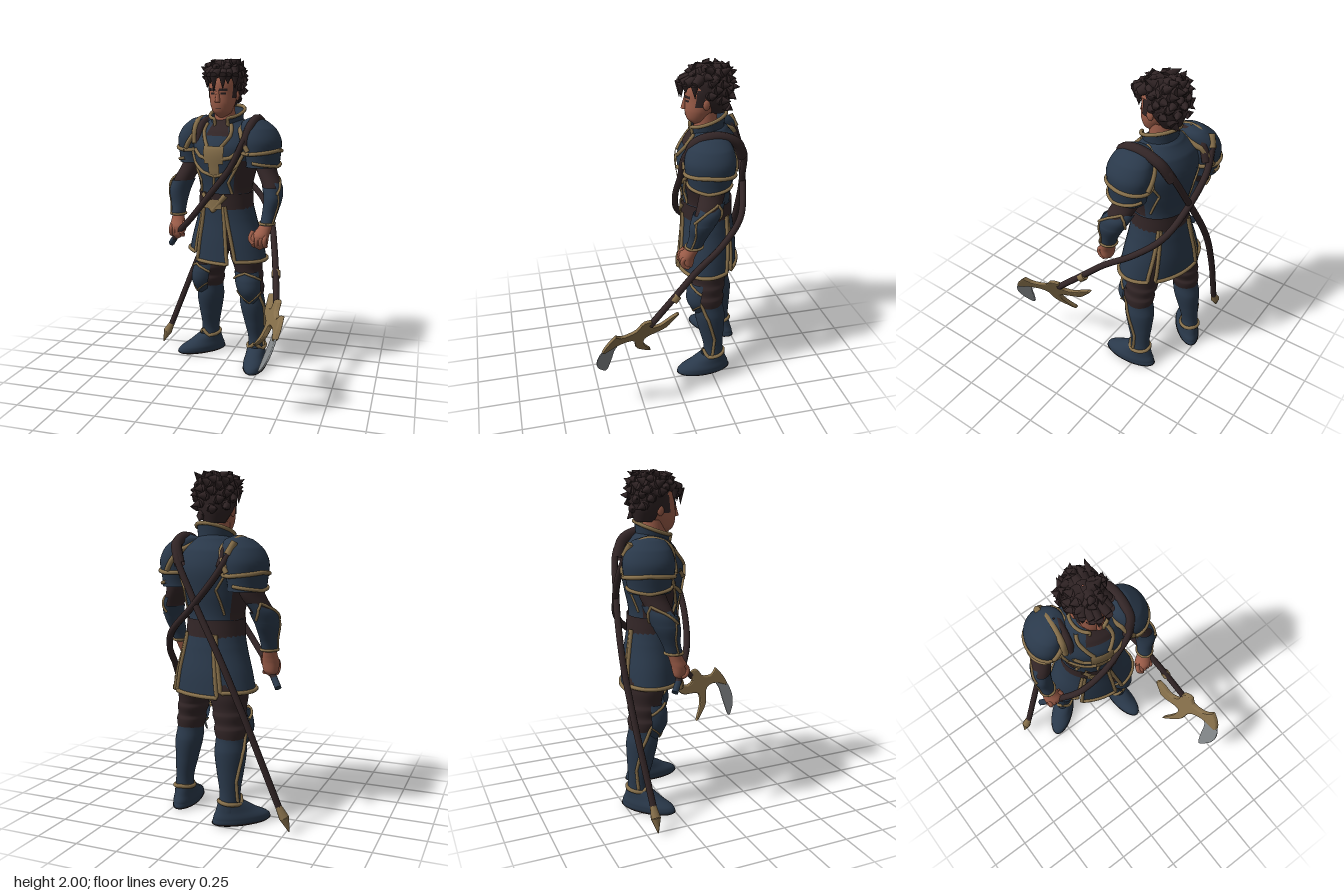
import * as THREE from 'three';
import { ParametricGeometry } from 'three/addons/geometries/ParametricGeometry.js';

const V = (x, y, z) => new THREE.Vector3(x, y, z);
const TAU = Math.PI * 2;
const paint = (name, color) => {
  const m = new THREE.MeshStandardMaterial({ color, side: THREE.DoubleSide });
  m.name = name;
  return m;
};

// Elliptical loft: sections are [x, y, z, rx, rz] with y rising; returns a point for angle t (0 = front) and height y.
function loft(secs, yaw = 0) {
  const n = secs.length - 1;
  const centre = new THREE.CatmullRomCurve3(secs.map(s => V(s[0], s[1], s[2])), false, 'catmullrom');
  const radius = new THREE.CatmullRomCurve3(secs.map(s => V(s[3], s[4], 0)), false, 'catmullrom');
  const P = (t, y, grow = 0) => {
    let i = secs.findIndex(s => s[1] >= y);
    if (i < 0) i = n;
    const u = i === 0 ? 0 : (i - 1 + Math.min(1, (y - secs[i - 1][1]) / (secs[i][1] - secs[i - 1][1]))) / n;
    const c = centre.getPoint(u), r = radius.getPoint(u);
    const a = (r.x + grow) * Math.sin(t), b = (r.y + grow) * Math.cos(t);
    return V(c.x + a * Math.cos(yaw) + b * Math.sin(yaw), y, c.z - a * Math.sin(yaw) + b * Math.cos(yaw));
  };
  P.ys = secs.map(s => s[1]);
  return P;
}

// Interpolates [x, y, z] stations by height and attaches [y, rx, rz] radii (optional forward shift along yaw).
function along(stations, radii, yaw = 0) {
  return radii.map(([y, rx, rz, f = 0]) => {
    let i = stations.findIndex(s => s[1] >= y);
    i = i < 0 ? stations.length - 1 : Math.max(1, i);
    const a = stations[i - 1], b = stations[i], k = THREE.MathUtils.clamp((y - a[1]) / (b[1] - a[1]), 0, 1);
    return [a[0] + (b[0] - a[0]) * k + f * Math.sin(yaw), y, a[2] + (b[2] - a[2]) * k + f * Math.cos(yaw), rx, rz];
  });
}

export function createModel() {
  const root = new THREE.Group(), body = new THREE.Group();
  root.name = 'warrior';
  body.name = 'body';
  body.position.set(0, 0, -0.27);
  body.rotation.y = -0.33;
  root.add(body);
  const blue = paint('blue armour', 0x2a394b), gold = paint('bronze trim', 0x87704b), leather = paint('dark leather', 0x332627);
  const hairCol = paint('hair', 0x2f2324), skinCol = paint('skin', 0x9c5d49), steel = paint('steel', 0x84888a), sole = paint('sole', 0x231c1e);

  const add = (parent, name, geo, mat) => {
    const m = new THREE.Mesh(geo, mat);
    m.name = name;
    parent.add(m);
    return m;
  };
  const skin = (parent, name, P, mat, t0 = 0, t1 = TAU, y0 = P.ys[0], y1 = P.ys[P.ys.length - 1], grow = 0) => {
    const nodes = [y0, ...P.ys.filter(y => y > y0 + 1e-4 && y < y1 - 1e-4), y1], n = nodes.length - 1;
    const f = (u, v, out) => {
      const k = Math.min(n - 1, Math.floor(v * n));
      out.copy(P(t0 + (t1 - t0) * u, nodes[k] + (nodes[k + 1] - nodes[k]) * (v * n - k), grow));
    };
    return add(parent, name, new ParametricGeometry(f, Math.max(6, Math.ceil(Math.abs(t1 - t0) * 5)), n * 4), mat);
  };
  const tube = (parent, name, pts, r, mat, n = pts.length * 5) =>
    add(parent, name, new THREE.TubeGeometry(new THREE.CatmullRomCurve3(pts), n, r, 8), mat);
  // Raised piping that follows [angle, height] points on a loft
  const piping = (parent, name, P, pts, r = 0.009) => {
    const path = [];
    for (let i = 0; i < pts.length - 1; i++) for (let k = 0; k < 8; k++) {
      const f = k / 8;
      path.push(P(pts[i][0] + (pts[i + 1][0] - pts[i][0]) * f, pts[i][1] + (pts[i + 1][1] - pts[i][1]) * f, 0.003));
    }
    path.push(P(...pts[pts.length - 1], 0.003));
    return tube(parent, name, path, r, gold, path.length * 2);
  };
  const rod = (parent, name, a, b, r0, r1, mat) => {
    const d = b.clone().sub(a), m = add(parent, name, new THREE.CylinderGeometry(r1, r0, d.length(), 8), mat);
    m.position.copy(a).add(b).multiplyScalar(0.5);
    m.quaternion.setFromUnitVectors(V(0, 1, 0), d.normalize());
    return m;
  };

  // Torso
  const torso = loft([[0, 1.0, .01, .18, .148], [0, 1.1, .012, .172, .145], [0, 1.2, .015, .172, .147], [0, 1.32, .015, .2, .17],
    [0, 1.45, .012, .225, .185], [0, 1.55, 0, .2, .15], [0, 1.62, 0, .12, .1], [0, 1.65, 0, .07, .07]]);
  skin(body, 'torso', torso, blue);
  skin(body, 'shirtFront', torso, leather, -.25, .5, 1.53, 1.63, .005);
  skin(body, 'belt', torso, leather, 0, TAU, 1.07, 1.17, .012);
  skin(body, 'buckle', torso, gold, -.34, .34, 1.07, 1.13, .02);
  piping(body, 'buckleCrest', torso, [[-.5, 1.16], [-.2, 1.1], [0, 1.06], [.2, 1.1], [.5, 1.16]], .02);
  skin(body, 'chestEmblem', torso, gold, -.18, .43, 1.36, 1.47, .014);
  skin(body, 'emblemPoint', torso, gold, -.05, .3, 1.29, 1.36, .012);
  piping(body, 'bellyTrim', torso, [[.1, 1.3], [.03, 1.17]]);
  for (const s of [1, -1]) {
    skin(body, 'sidePadding', torso, leather, s * .8, s * 2, 1.17, 1.38, .005);
    piping(body, 'emblemArm', torso, [[.12 + s * .25, 1.39], [.12 + s * .5, 1.4], [.12 + s * .75, 1.44]], .012);
    piping(body, 'chestTrim', torso, [[.12, 1.28], [.1 + s * .45, 1.3], [s * .85, 1.35], [s * 1.1, 1.46]], .011);
    piping(body, 'neckTrim', torso, [[.12 + s * .2, 1.46], [.1 + s * .45, 1.53], [s * .65, 1.6]], .012);
    piping(body, 'ribTrim', torso, [[s * .75, 1.17], [s * .6, 1.24], [s * .85, 1.34]]);
    piping(body, 'backTrim', torso, [[s * 2.2, 1.2], [s * 2.5, 1.34], [s * 2.2, 1.45]], .007);
  }

  // Collar, higher at the back
  const ring = loft([[.01, 1.55, .01, .13, .11], [.01, 1.62, .015, .1, .095], [.01, 1.71, .02, .108, .105]]);
  const collar = (t, y, g) => { const p = ring(t, y, g); p.y -= .04 * (1 + Math.cos(t)); return p; };
  collar.ys = ring.ys;
  skin(body, 'collar', collar, blue, .6, TAU - .25);
  piping(body, 'collarTrim', collar, [[.6, 1.56], [.6, 1.71], [Math.PI, 1.71], [TAU - .25, 1.71], [TAU - .25, 1.56]], .011);

  // Skirt panels: [middle angle, half width, hem height, narrowing towards the hem]
  const skirt = loft([[0, .72, 0, .285, .185], [0, .86, 0, .25, .178], [0, 1.0, .005, .205, .162], [0, 1.1, .012, .18, .152]]);
  for (const [mid, half, hem, taper] of [[-.01, .41, .72, 0], [1.48, 1.03, .74, .45], [3.14, .58, .74, 0], [4.785, 1.005, .77, .15]]) {
    const panel = (u, y, g) => skirt(mid + u * (half - taper * (1.1 - y)), y, g);
    panel.ys = skirt.ys;
    skin(body, 'skirtPanel', panel, blue, -1, 1, hem, 1.1);
    piping(body, 'skirtTrim', panel, [[-1, 1.09], [-1, hem], [0, hem], [1, hem], [1, 1.09]], .012);
  }
  skin(body, 'hips', loft([[0, .78, 0, .05, .07], [0, .85, 0, .16, .12], [0, 1.05, 0, .165, .135]]), leather);

  // Pauldrons with a second lame beneath
  for (const s of [1, -1]) {
    const cap = loft([[s * .248, 1.42, -.012, .113, .14], [s * .245, 1.5, -.012, .118, .148], [s * .225, 1.57, -.012, .103, .13],
      [s * .195, 1.62, -.012, .07, .09], [s * .18, 1.645, -.012, .005, .005]]);
    const lame = loft([[s * .258, 1.34, -.012, .1, .122], [s * .255, 1.44, -.012, .11, .135]]);
    skin(body, 'pauldron', cap, blue);
    skin(body, 'pauldronLame', lame, blue);
    piping(body, 'pauldronTrim', cap, [[0, 1.425], [s * 1.57, 1.445], [Math.PI * s, 1.425], [s * 4.71, 1.43], [s * TAU, 1.425]], .012);
    piping(body, 'lameTrim', lame, [[0, 1.37], [s * 1.57, 1.345], [s * Math.PI, 1.37]], .01);
    piping(body, 'pauldronInnerTrim', cap, [[-s * .1, 1.44], [-s * .6, 1.55], [-s * 1.57, 1.61], [-s * 2.5, 1.55], [-s * 3, 1.44]], .016);
  }

  // Arms
  const arms = {
    left: [[.265, .84, -.065], [.265, .92, -.065], [.305, 1, -.1], [.328, 1.15, -.14], [.315, 1.22, -.17], [.27, 1.32, -.21], [.25, 1.45, -.23]],
    right: [[-.33, .84, -.22], [-.33, .92, -.225], [-.335, 1, -.26], [-.335, 1.15, -.3], [-.315, 1.22, -.32], [-.265, 1.32, -.355], [-.24, 1.45, -.37]],
  };
  for (const [side, path] of Object.entries(arms)) {
    const s = side === 'left' ? 1 : -1, yaw = s > 0 ? .1 : -.5;
    const part = r => loft(along(path, r, yaw), yaw);
    skin(root, side + 'Sleeve', part([[1.12, .05, .06], [1.22, .06, .07], [1.32, .064, .076], [1.45, .07, .08]]), leather);
    const bracer = part([[.99, .043, .048], [1.06, .048, .054], [1.15, .058, .078], [1.22, .062, .086]]);
    skin(root, side + 'Bracer', bracer, blue);
    const guard = part([[1.16, .062, .083], [1.22, .066, .088], [1.275, .055, .075, -.015]]);
    skin(root, side + 'ElbowGuard', guard, blue, s * .5, s * 2.9);
    piping(root, side + 'ElbowTrim', guard, [[s * .5, 1.18], [s * 1.1, 1.24], [s * 1.7, 1.275], [s * 2.3, 1.24], [s * 2.9, 1.18]], .008);
    piping(root, side + 'CuffTrim', bracer, [[0, 1.0], [Math.PI, 1.0], [TAU, 1.0]], .008);
    piping(root, side + 'BracerTrim', bracer, [[s * .6, 1.2], [s * .9, 1.1], [s * .9, 1.0]], .006);
    skin(root, side + 'Hand', part([[.835, .005, .005], [.86, .045, .035], [.92, .056, .046], [.96, .046, .042], [1.01, .036, .038]]), skinCol);
    for (let i = 0; i < 4; i++) {
      const x = path[1][0] + (i - 1.5) * .024, z = path[1][2] + .025;
      tube(root, side + 'Finger', [V(x, .93, z - .01), V(x, .905, z + .012), V(x, .87, z), V(x, .86, z - .03)], .014, skinCol, 8);
    }
    tube(root, side + 'Thumb', [V(path[1][0] - s * .045, .95, path[1][2]), V(path[1][0] - s * .055, .91, path[1][2] + .03), V(path[1][0] - s * .03, .88, path[1][2] + .04)], .015, skinCol, 8);
  }

  // Legs
  const legs = {
    left: [[.208, .0, -.275], [.203, .18, -.27], [.17, .55, -.235], [.1, .95, -.26]],
    right: [[-.16, .0, -.43], [-.16, .18, -.425], [-.145, .55, -.375], [-.1, .95, -.33]],
  };
  for (const [side, path] of Object.entries(legs)) {
    const s = side === 'left' ? 1 : -1, yaw = s > 0 ? .05 : -.7, toeYaw = s > 0 ? .05 : -.85;
    const part = (r, a = yaw) => loft(along(path, r, a), a);
    skin(root, side + 'Trouser', part([[.48, .074, .08], [.55, .088, .1], [.58, .083, .093], [.63, .094, .104], [.66, .09, .1], [.74, .105, .115], [.84, .1, .11], [.95, .07, .09]]), leather);
    const boot = part([[.08, .058, .07], [.18, .053, .062], [.3, .067, .08], [.42, .082, .096], [.5, .078, .088], [.54, .082, .092]]);
    skin(root, side + 'Boot', boot, blue);
    piping(root, side + 'BootSideTrim', boot, [[s * .7, .54], [s * 1.2, .42], [s * 1.5, .26], [s * 1.2, .14]], .01);
    piping(root, side + 'AnkleTrim', boot, [[0, .16], [.8, .12], [Math.PI, .14], [TAU - .8, .12], [TAU, .16]], .012);
    const knee = part([[.45, .045, .07, .03], [.53, .08, .1, .04], [.6, .09, .105, .035], [.66, .082, .09, .03]]);
    skin(root, side + 'KneeGuard', knee, blue, -1.2, 1.2);
    piping(root, side + 'KneeTrim', knee, [[-1.2, .61], [-.7, .635], [0, .66], [.7, .635], [1.2, .61]], .008);
    piping(root, side + 'KneeLowerTrim', knee, [[-1.2, .53], [-.6, .49], [0, .455], [.6, .49], [1.2, .53]], .005);
    const foot = part([[0, .005, .005, .07], [.002, .064, .16, .07], [.04, .073, .17, .07], [.08, .064, .125, .04], [.13, .056, .076, .005]], toeYaw);
    skin(root, side + 'Foot', foot, blue);
    skin(root, side + 'Sole', foot, sole, 0, TAU, 0, .015, .004);
  }

  // Head
  const hx = -.014, headYaw = -.1;
  const head = loft([[hx, 1.64, -.2, .02, .03], [hx, 1.67, -.19, .055, .058], [hx, 1.72, -.2, .076, .083], [hx, 1.79, -.225, .087, .108],
    [hx, 1.86, -.235, .09, .114], [hx, 1.93, -.245, .07, .09], [hx, 1.96, -.25, .01, .01]], headYaw);
  skin(root, 'head', head, skinCol);
  skin(root, 'neck', loft([[-.005, 1.58, -.235, .07, .08], [-.01, 1.63, -.24, .066, .068], [hx, 1.72, -.24, .066, .07]]), skinCol);
  rod(root, 'nose', head(0, 1.735, .006), head(0, 1.81, -.004), .018, .008, skinCol);
  skin(root, 'mouth', head, sole, -.28, .28, 1.697, 1.702, .002);
  for (const s of [1, -1]) {
    skin(root, 'eye', head, sole, s * .22, s * .58, 1.782, 1.794, .002);
    skin(root, 'eyebrow', head, hairCol, s * .14, s * .68, 1.804, 1.82, .004);
    skin(root, 'sideburn', head, hairCol, s * 1.05, s * 1.5, 1.76, 1.86, .004);
    const ear = add(root, 'ear', new THREE.SphereGeometry(.024, 10, 8), skinCol);
    ear.scale.set(.5, 1.3, .9);
    ear.position.copy(head(s * 1.65, 1.775, .003));
  }

  // Hair: a cap with swept, bent locks and a hanging fringe
  const hair = loft([[hx, 1.71, -.3, .06, .06], [hx, 1.78, -.285, .1, .095], [hx, 1.86, -.27, .115, .115], [hx, 1.93, -.258, .104, .112],
    [hx, 1.965, -.255, .055, .065], [hx, 1.975, -.255, .004, .004]], headYaw);
  skin(root, 'hairCap', hair, hairCol);
  let seed = 7;
  const rand = () => (seed = (seed * 16807) % 2147483647) / 2147483647;
  for (let i = 0; i < 60; i++) {
    const t = i * 2.39996, y = 1.74 + .22 * Math.sqrt(i / 60), front = Math.cos(t);
    if ((front > .35 && y < 1.885) || (front > -.2 && y < 1.8)) continue;
    const base = hair(t, y, -.034), out = V(Math.sin(t), (y - 1.86) * 6, front).normalize();
    const sweep = V(Math.cos(t), rand() - .5, -Math.sin(t)).multiplyScalar(rand() > .5 ? 1 : -1);
    const mid = base.clone().addScaledVector(out, .036).addScaledVector(sweep, .008);
    rod(root, 'lockRoot', base, mid, .045, .026, hairCol);
    rod(root, 'lockTip', mid, mid.clone().addScaledVector(out, .02 + rand() * .022).addScaledVector(sweep, .025 + rand() * .02), .026, .001, hairCol);
  }
  for (const [x, y, z] of [[-.1, 1.82, -.15], [-.068, 1.845, -.105], [-.04, 1.8, -.088], [.018, 1.815, -.085], [.045, 1.845, -.105], [.078, 1.82, -.15]]) {
    const start = V(x * .7 + hx * .3, 1.925, -.19), mid = V(x, 1.895, z + .003);
    rod(root, 'fringeRoot', start, mid, .036, .024, hairCol);
    rod(root, 'fringeLock', mid, V(x, y, z), .024, .001, hairCol);
  }

  // Spear shaft and sling crossing the back, left shoulder and chest
  tube(root, 'slungSpear', [V(-.46, .15, -.445), V(-.27, .65, -.49), V(-.14, .95, -.5), V(.05, 1.3, -.465), V(.18, 1.55, -.4), V(.195, 1.64, -.23),
    V(.16, 1.53, -.085), V(.07, 1.34, -.07), V(-.06, 1.17, -.075), V(-.2, 1, -.12), V(-.31, .89, -.2), V(-.36, .83, -.245)], .02, leather, 90);
  tube(root, 'leftShoulderStrap', [V(.15, 1.47, -.085), V(.185, 1.59, -.12), V(.2, 1.63, -.23), V(.195, 1.59, -.36), V(.15, 1.48, -.42)], .032, leather);
  tube(root, 'rightShoulderStrap', [V(-.165, 1.46, -.19), V(-.165, 1.57, -.215), V(-.15, 1.615, -.33), V(-.14, 1.57, -.43), V(-.12, 1.47, -.475)], .024, leather);
  tube(root, 'rightShoulderTrim', [V(-.2, 1.47, -.2), V(-.2, 1.58, -.225), V(-.185, 1.625, -.34), V(-.175, 1.58, -.44), V(-.16, 1.47, -.48)], .02, gold);
  rod(root, 'spearButt', V(-.355, .835, -.24), V(-.395, .785, -.28), .02, .02, blue);
  rod(root, 'spearSocket', V(-.455, .16, -.446), V(-.492, .09, -.443), .018, .03, gold);
  rod(root, 'spearPoint', V(-.492, .09, -.443), V(-.522, .01, -.44), .03, .003, gold);

  // Axe on the other diagonal
  tube(root, 'axeShaft', [V(.43, .57, .2), V(.385, .74, .02), V(.35, .85, -.1), V(.295, .97, -.27), V(.205, 1.1, -.41), V(.05, 1.25, -.47), V(-.1, 1.42, -.495), V(-.18, 1.55, -.475)], .02, leather, 60);
  rod(root, 'axeRing', V(.395, .7, .05), V(.388, .73, .02), .027, .027, gold);
  rod(root, 'axePommel', V(-.17, 1.54, -.478), V(-.2, 1.61, -.455), .026, .02, gold);
  // Head outline in (z, y), extruded and sheared into its slanted plane
  const axePart = (name, pts, depth, bevel, mat) => {
    const geo = new THREE.ExtrudeGeometry(new THREE.Shape(new THREE.SplineCurve(pts.map(p => new THREE.Vector2(...p))).getPoints(60)),
      { depth, bevelEnabled: true, bevelThickness: bevel, bevelSize: bevel, bevelOffset: -bevel / 2, bevelSegments: 2 });
    geo.translate(0, 0, -depth / 2).rotateY(-Math.PI / 2);
    const p = geo.attributes.position;
    for (let i = 0; i < p.count; i++) p.setX(i, p.getX(i) + .432 + .42 * (p.getY(i) - .55) + .36 * (p.getZ(i) - .25));
    geo.computeVertexNormals();
    add(root, name, geo, mat);
  };
  axePart('axeHead', [[.417, .583], [.37, .55], [.285, .56], [.243, .61], [.19, .6], [.19, .546], [.127, .53], [.06, .565], [.01, .58], [.05, .53], [.095, .488],
    [.216, .47], [.232, .414], [.21, .36], [.174, .302], [.235, .35], [.275, .398], [.3, .483], [.39, .5], [.49, .467], [.464, .53], [.417, .583]], .016, .008, gold);
  axePart('axeBlade', [[.385, .51], [.42, .45], [.437, .36], [.464, .265], [.505, .3], [.524, .34], [.528, .39], [.507, .456], [.464, .5], [.385, .51]], .006, .003, steel);
  return root;
}
